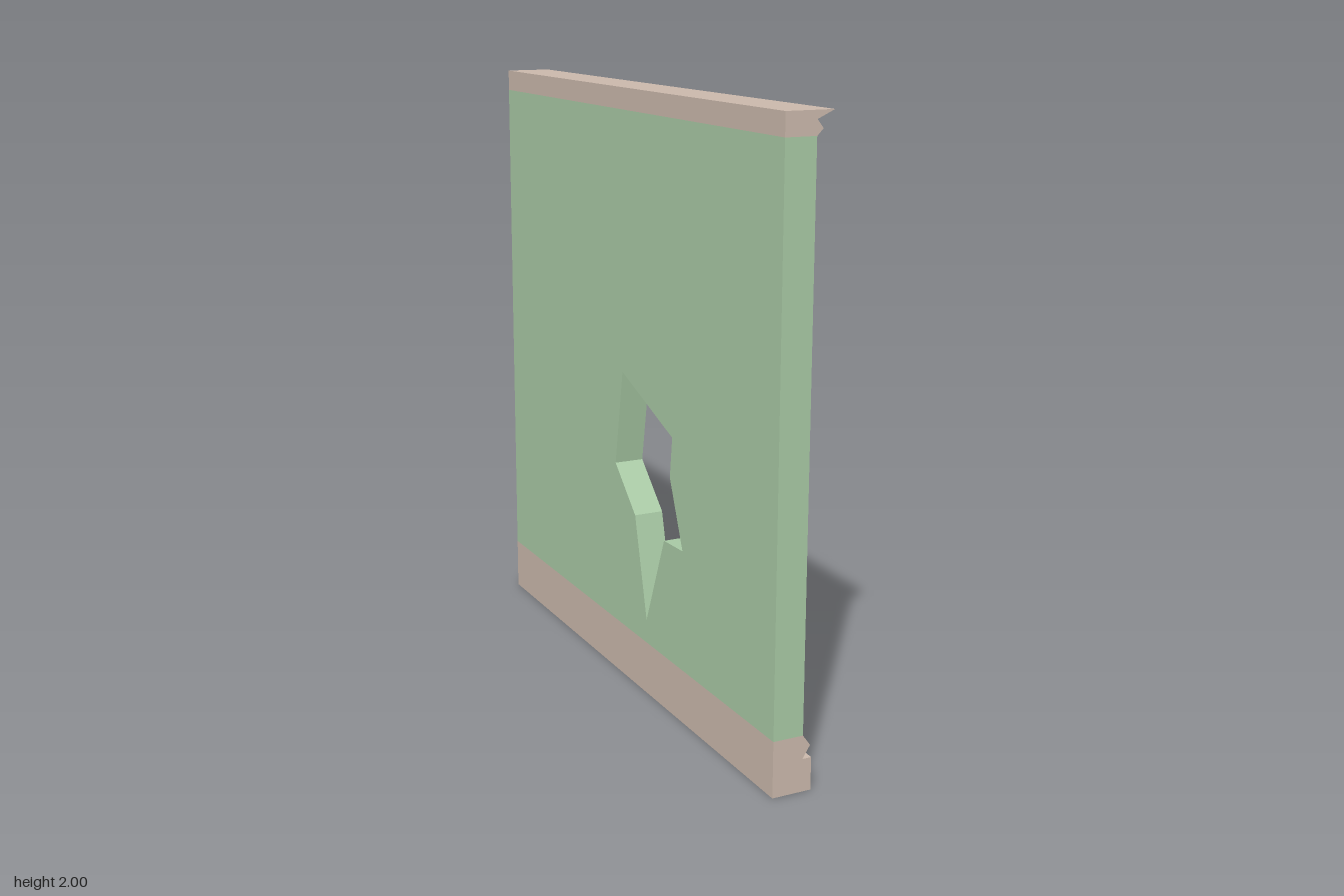
import * as THREE from 'three';

const BACK = -0.08, FACE = 0.02, LENGTH = 2;

const toShape = (points) => new THREE.Shape(points.map(([x, y]) => new THREE.Vector2(x, y)));

// Trim: an x-y profile swept along the length of the wall
function makeTrim(name, profile, material) {
  const geometry = new THREE.ExtrudeGeometry(toShape(profile), { depth: LENGTH, bevelEnabled: false });
  geometry.translate(0, 0, -LENGTH / 2);
  const mesh = new THREE.Mesh(geometry, material);
  mesh.name = name;
  return mesh;
}

export function createModel() {
  const group = new THREE.Group();
  group.name = 'brokenWall';
  const plaster = new THREE.MeshStandardMaterial({ color: 0xa8c9a4, flatShading: true });
  const wood = new THREE.MeshStandardMaterial({ color: 0xcab8ab, flatShading: true });

  // Wall panel with a jagged hole; points are [z, y]
  const bottom = 0.18, top = 1.93;
  const hole = [
    [-0.025, 1.07], [0.34, 0.935], [0.325, 0.8], [0.415, 0.582],
    [0.285, 0.577], [0.157, 0.26], [0.07, 0.6], [-0.082, 0.742],
  ];
  const panel = toShape([[-1, bottom], [1, bottom], [1, top], [-1, top]]);
  panel.holes.push(new THREE.Path(hole.map(([z, y]) => new THREE.Vector2(-z, y))));
  const panelGeometry = new THREE.ExtrudeGeometry(panel, { depth: FACE - BACK, bevelEnabled: false });
  panelGeometry.rotateY(Math.PI / 2).translate(BACK, 0, 0);
  const wall = new THREE.Mesh(panelGeometry, plaster);
  wall.name = 'wallPanel';
  group.add(wall);

  // Skirting board along the floor
  group.add(makeTrim('skirtingBoard', [
    [BACK, 0], [0.05, 0], [0.05, 0.105], [FACE, 0.105], [0.045, 0.145], [FACE, bottom], [BACK, bottom],
  ], wood));

  // Cornice along the ceiling
  group.add(makeTrim('cornice', [
    [BACK, top], [FACE, top], [0.04, 1.95], [FACE, 1.975], [0.075, 2], [BACK, 2],
  ], wood));

  return group;
}
